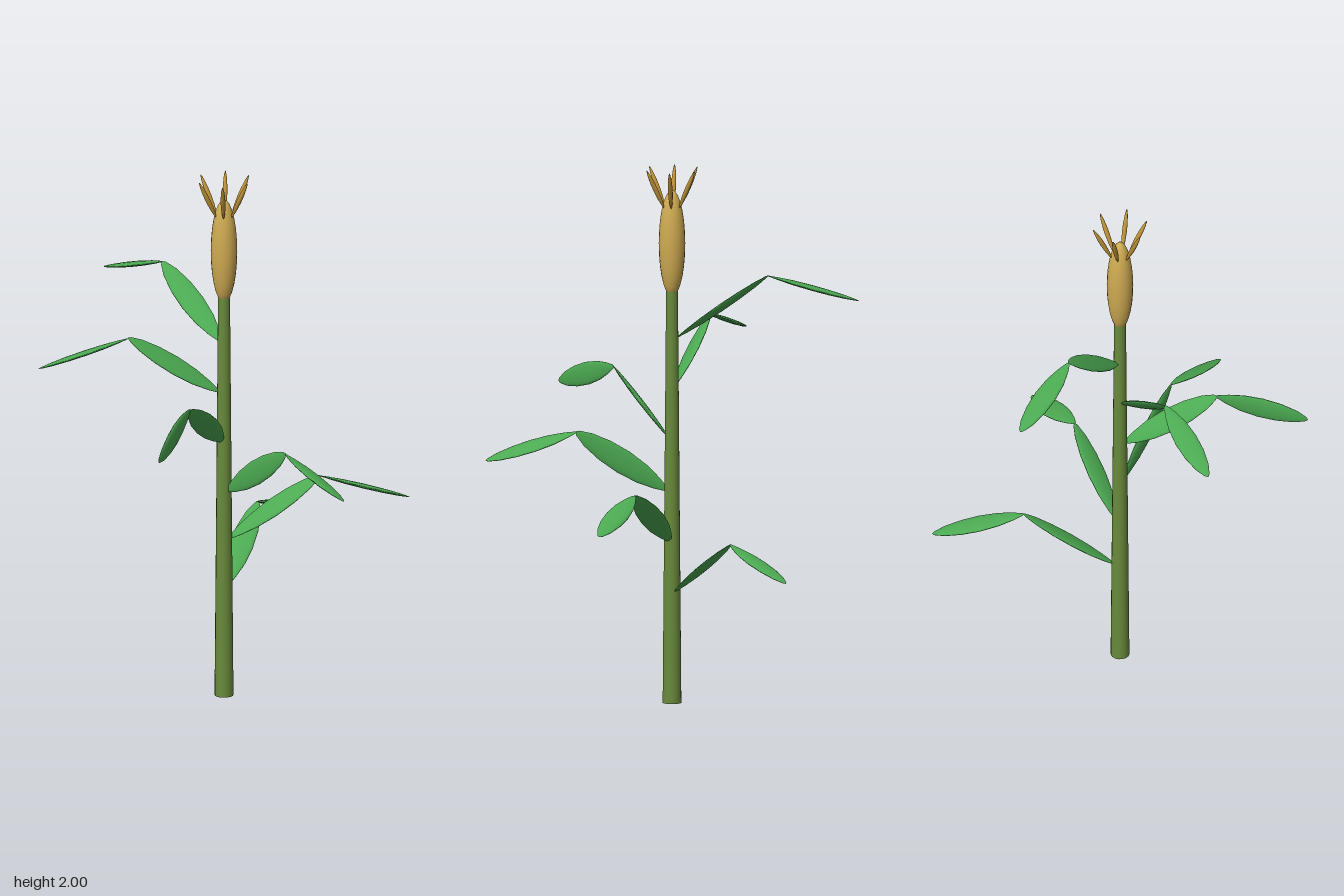
import * as THREE from 'three';

const mat = (color) => new THREE.MeshStandardMaterial({ color });
const V = (x, y, z) => new THREE.Vector3(x, y, z);

// Lens-shaped body of unit length along y, unit half-width
const bladeProfile = [
  [0, 0], [0.015, 0.16], [0.12, 0.5], [0.28, 0.84], [0.48, 1],
  [0.68, 0.92], [0.86, 0.63], [0.97, 0.25], [1, 0],
].map(([t, r]) => new THREE.Vector2(r, t));
const bladeGeometry = new THREE.LatheGeometry(bladeProfile.slice(), 14);

// Blade from a to b, flattened along a normal rolled about its own axis
function blade(name, a, b, halfWidth, halfThick, roll, material) {
  const axis = b.clone().sub(a);
  const length = axis.length();
  const d = axis.normalize();
  const side = V(0, 1, 0).cross(d).normalize();
  const up = d.clone().cross(side);
  const r = THREE.MathUtils.degToRad(roll);
  const normal = up.multiplyScalar(Math.cos(r)).addScaledVector(side, Math.sin(r));
  const wide = d.clone().cross(normal);
  const mesh = new THREE.Mesh(bladeGeometry, material);
  mesh.name = name;
  mesh.position.copy(a);
  mesh.quaternion.setFromRotationMatrix(new THREE.Matrix4().makeBasis(wide, d, normal));
  mesh.scale.set(halfWidth, length, halfThick);
  return mesh;
}

export function createModel() {
  const model = new THREE.Group();
  model.name = 'cornPlant';
  const green = mat(0x4caa52), stemGreen = mat(0x698a3c);
  const gold = mat(0xcfab52), darkGold = mat(0xbd9238);

  // Tapered stalk
  const stalk = new THREE.Mesh(new THREE.CylinderGeometry(0.022, 0.035, 1.56, 16), stemGreen);
  stalk.name = 'stalk';
  stalk.position.y = 0.78;
  model.add(stalk);

  // Six bent leaves spiralling up the stalk; rolls are [inner, outer] twists
  const rolls = [[-10, 5], [-25, 12], [90, 20], [-40, 90], [35, -12], [25, 0]];
  rolls.forEach(([innerRoll, outerRoll], i) => {
    const angle = THREE.MathUtils.degToRad(72.5 - 60 * i);
    const y = 0.415 + 0.19 * i;
    const at = (r, h) => V(r * Math.cos(angle), y + h, -r * Math.sin(angle));
    const leaf = new THREE.Group();
    leaf.name = 'leaf' + (i + 1);
    leaf.add(
      blade('innerBlade', at(0.015, 0), at(0.36, 0.228), 0.046, 0.009, innerRoll, green),
      blade('outerBlade', at(0.355, 0.226), at(0.695, 0.125), 0.043, 0.009, outerRoll, green),
    );
    model.add(leaf);
  });

  // Ear on top of the stalk
  const ear = new THREE.Mesh(new THREE.SphereGeometry(1, 20, 14), gold);
  ear.name = 'ear';
  ear.position.y = 1.72;
  ear.scale.set(0.049, 0.2, 0.049);
  model.add(ear);

  // Ring of tassel bristles
  const tassel = new THREE.Group();
  tassel.name = 'tassel';
  for (let i = 0; i < 6; i++) {
    const a = (i * Math.PI) / 3;
    const at = (r, y) => V(r * Math.sin(a), y, r * Math.cos(a));
    tassel.add(blade('bristle', at(0.03, 1.85), at(0.103, 2), 0.009, 0.009, 0, darkGold));
  }
  model.add(tassel);
  return model;
}
